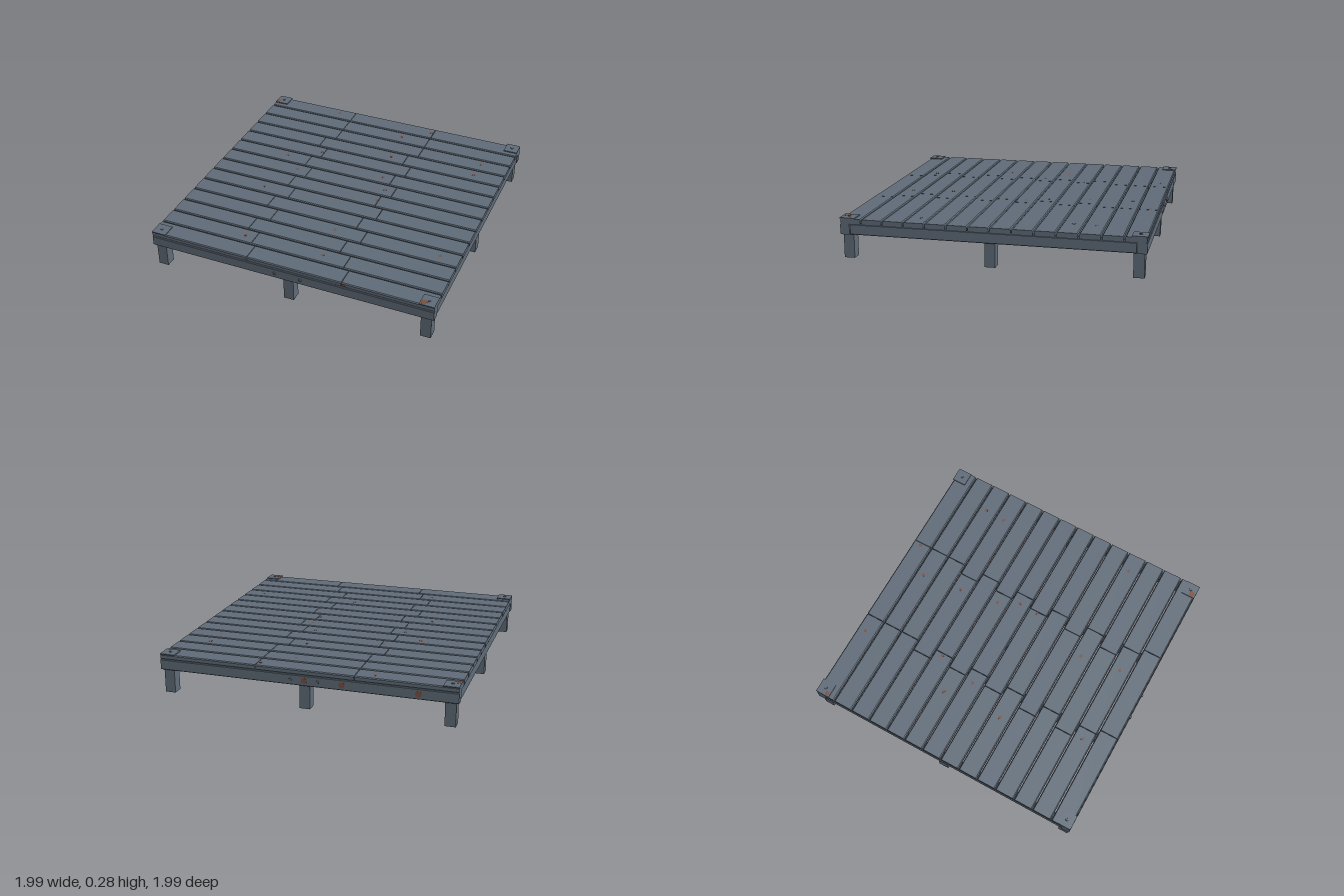
import * as THREE from 'three';

export function createModel() {
  const group = new THREE.Group();
  group.name = 'deckPlatform';

  const paint = new THREE.MeshStandardMaterial({ color: 0x5f6b78 });
  paint.name = 'slatePaint';
  const rust = new THREE.MeshStandardMaterial({ color: 0x7a5040 });
  rust.name = 'rust';

  const add = (name, geometry, material, x, y, z) => {
    const mesh = new THREE.Mesh(geometry, material);
    mesh.name = name;
    mesh.position.set(x, y, z);
    group.add(mesh);
    return mesh;
  };
  const box = (name, w, h, d, x, y, z) => add(name, new THREE.BoxGeometry(w, h, d), paint, x, y, z);

  // Board along x with chamfered long edges
  const board = (length, h, d, c) => {
    const a = d / 2, b = h / 2;
    const s = new THREE.Shape([
      [-a + c, -b], [a - c, -b], [a, -b + c], [a, b - c],
      [a - c, b], [-a + c, b], [-a, b - c], [-a, -b + c],
    ].map(([x, y]) => new THREE.Vector2(x, y)));
    const g = new THREE.ExtrudeGeometry(s, { depth: length, bevelEnabled: false });
    g.translate(0, 0, -length / 2);
    g.rotateY(Math.PI / 2);
    return g;
  };

  // Deck boards: each row is cut at two joints
  const joints = [
    [-0.33, 0.33], [-0.33, 0.33], [-0.33, 0.33], [-0.405, 0.26], [-0.33, 0.33],
    [-0.395, 0.265], [-0.33, 0.33], [-0.395, 0.265], [-0.33, 0.33], [-0.42, 0.245],
    [-0.33, 0.33], [-0.42, 0.245], [-0.33, 0.33], [-0.29, 0.375],
  ];
  const pitch = 0.1415, gap = 0.004;
  joints.forEach((cuts, row) => {
    const z = (row - 6.5) * pitch;
    const ends = [-0.993, ...cuts, 0.993];
    for (let i = 0; i < 3; i++) {
      const x0 = ends[i] + (i > 0 ? gap / 2 : 0);
      const x1 = ends[i + 1] - (i < 2 ? gap / 2 : 0);
      add('deckBoard', board(x1 - x0, 0.034, 0.134, 0.006), paint, (x0 + x1) / 2, 0.247, z);
    }
  });

  // Perimeter frame and inner joists
  for (const s of [-1, 1]) {
    add('endBeam', board(1.986, 0.07, 0.062, 0.004), paint, 0, 0.195, s * 0.959);
    const side = add('sideBeam', board(1.846, 0.07, 0.06, 0.004), paint, s * 0.96, 0.195, 0);
    side.rotation.y = Math.PI / 2;
    box('joist', 0.055, 0.07, 1.856, s * 0.33, 0.195, 0);
  }

  // Nine short legs
  for (const x of [-0.94, 0, 0.94])
    for (const z of [-0.94, 0, 0.94]) box('leg', 0.07, 0.16, 0.07, x, 0.08, z);

  // Corner plates with bolt heads
  const bolt = new THREE.CylinderGeometry(0.009, 0.011, 0.007, 8);
  for (const sx of [-1, 1])
    for (const sz of [-1, 1]) {
      box('cornerPlate', 0.1, 0.007, 0.1, sx * 0.943, 0.2675, sz * 0.943);
      add('plateBolt', bolt, paint, sx * 0.943, 0.2725, sz * 0.943);
    }

  // Bolt heads on the end beams
  for (const x of [-0.09, 0.09])
    for (const s of [-1, 1])
      add('beamBolt', bolt, paint, x, 0.195, s * 0.9935).rotation.x = s * Math.PI / 2;

  // Rust spots on the boards
  const spot = new THREE.CylinderGeometry(0.012, 0.012, 0.002, 7);
  const deckRust = [
    [-0.45, -0.93], [0.31, -0.93], [0.12, -0.79], [0.79, -0.65], [0.15, -0.5],
    [0.78, -0.5], [-0.35, -0.36], [-0.57, -0.22], [0.19, -0.22], [-0.42, -0.075],
    [0.26, -0.075], [0.255, 0.065], [-0.545, 0.21], [0.12, 0.49], [0.86, 0.49],
    [-0.405, 0.775], [0.155, 0.775],
  ];
  for (const [x, z] of deckRust) add('deckRust', spot, rust, x, 0.264, z);

  // Rust on two corner plates
  add('plateRust', spot, rust, -0.975, 0.271, -0.915).scale.set(1.3, 1, 1.3);
  add('plateRust', spot, rust, 0.915, 0.271, 0.965).scale.set(2, 1, 1.8);

  // Rust on the end faces and joists
  add('frontRust', spot, rust, 0.39, 0.247, 0.988).rotation.x = Math.PI / 2;
  for (const x of [0, -0.25, -0.74]) {
    const r = add('backBeamRust', spot, rust, x, 0.195, -0.9905);
    r.rotation.x = Math.PI / 2;
    r.scale.set(1.8, 1, 1.8);
  }
  for (const x of [-0.33, 0.33])
    for (const z of [-0.74, -0.28, -0.035]) {
      const r = add('joistRust', spot, rust, x + 0.028, 0.19, z);
      r.rotation.z = Math.PI / 2;
      r.scale.set(1.6, 1, 1.6);
    }

  return group;
}
